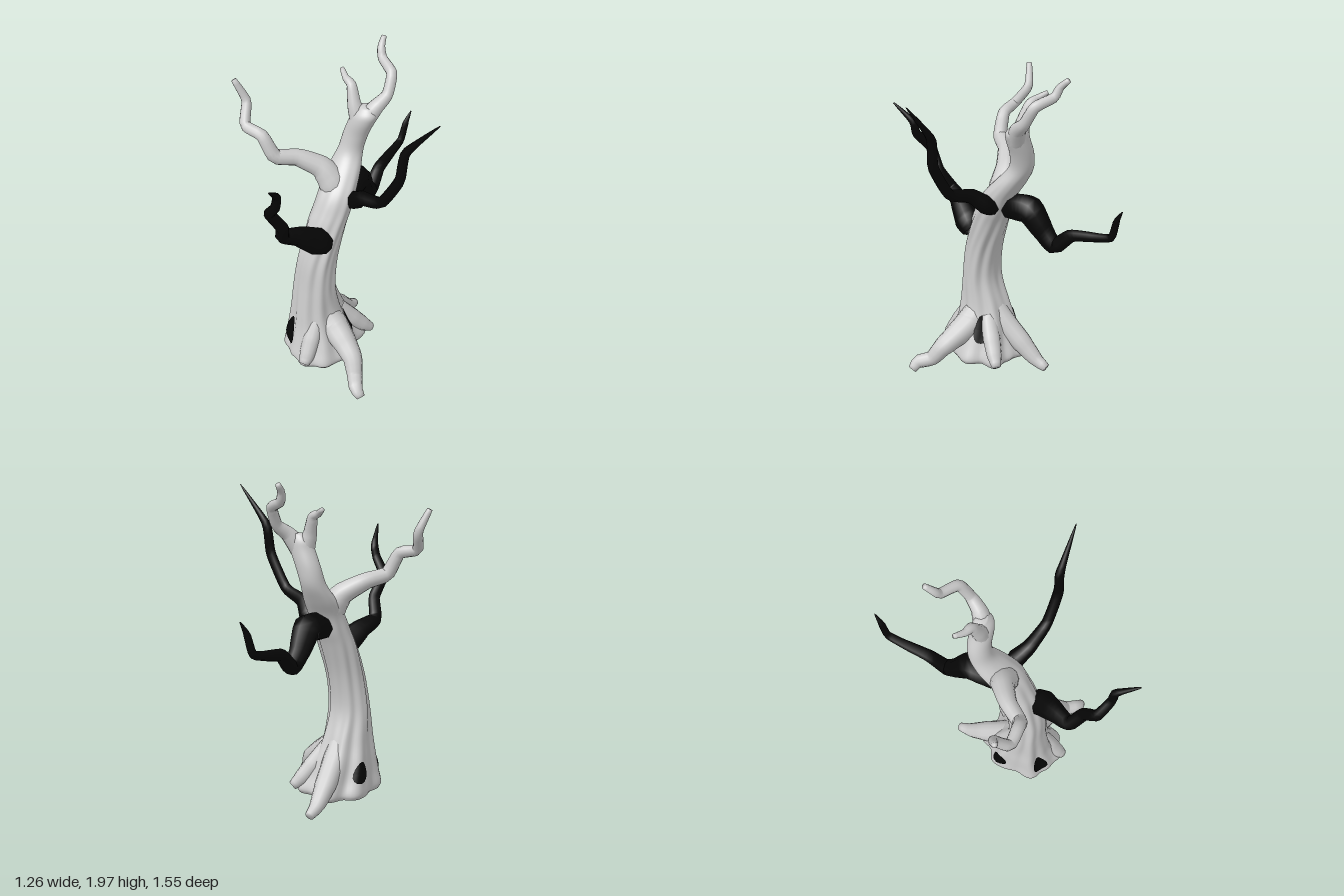
import * as THREE from 'three';

const bark = new THREE.MeshStandardMaterial({ color: 0xcccccc });
const dark = new THREE.MeshStandardMaterial({ color: 0x060606, side: THREE.DoubleSide });

// Skin of rows x cols quads over at(i, j) -> Vector3, closed around j
function loft(rows, cols, at) {
  const pos = [], index = [];
  for (let i = 0; i <= rows; i++)
    for (let j = 0; j < cols; j++) pos.push(...at(i, j).toArray());
  for (let i = 0; i < rows; i++)
    for (let j = 0; j < cols; j++) {
      const k = (j + 1) % cols;
      const a = i * cols + j, b = a + cols, c = i * cols + k, d = c + cols;
      index.push(a, b, c, b, d, c);
    }
  const geo = new THREE.BufferGeometry();
  geo.setAttribute('position', new THREE.Float32BufferAttribute(pos, 3));
  geo.setIndex(index);
  geo.computeVertexNormals();
  return geo;
}

// Trunk sections: y, centre x, centre z, half width x, half depth z
const RINGS = [
  [0.075, -0.09, 0.18, 0.195, 0.225],
  [0.11, -0.09, 0.18, 0.205, 0.24],
  [0.19, -0.10, 0.185, 0.185, 0.21],
  [0.30, -0.115, 0.19, 0.16, 0.175],
  [0.42, -0.12, 0.205, 0.138, 0.145],
  [0.60, -0.117, 0.222, 0.127, 0.108],
  [0.80, -0.105, 0.20, 0.115, 0.107],
  [1.00, -0.09, 0.135, 0.115, 0.11],
  [1.10, -0.08, 0.09, 0.113, 0.11],
  [1.20, -0.075, 0.045, 0.11, 0.10],
  [1.30, -0.085, -0.03, 0.10, 0.088],
  [1.40, -0.09, -0.10, 0.075, 0.072],
  [1.50, -0.07, -0.122, 0.075, 0.066],
  [1.60, -0.03, -0.125, 0.077, 0.063],
  [1.65, -0.015, -0.13, 0.075, 0.055],
  [1.69, -0.01, -0.14, 0.04, 0.03],
];
const spline = (f) => new THREE.CatmullRomCurve3(RINGS.map(f), false, 'catmullrom', 0.5);
const centres = spline((r) => new THREE.Vector3(r[1], r[0], r[2]));
const widths = spline((r) => new THREE.Vector3(r[3], r[0], r[4]));

// Buttresses of the foot: angle, swell
const TOES = [[1.32, 0.17], [2.37, 0.17], [0.62, 0.12], [-0.07, 0.17], [-0.88, 0.2], [3.46, 0.12], [4.26, 0.15]];

// Point on the fluted trunk at section number u and angle a
function trunkPoint(u, a, grow = 1) {
  const t = u / (RINGS.length - 1);
  const c = centres.getPoint(t), w = widths.getPoint(t);
  const flare = Math.max(0, 1 - c.y / 0.6);
  const fade = Math.max(0, Math.min(1, (1.4 - c.y) / 0.5));
  const twist = a + c.y * 0.5;
  let f = 1 + fade * (0.04 * Math.cos(7 * twist) + 0.03 * Math.cos(11 * twist + 2 + Math.sin(c.y * 7)));
  for (const [toe, swell] of TOES) {
    const off = Math.atan2(Math.sin(a - toe), Math.cos(a - toe)) / 0.26;
    f += flare * swell * Math.exp(-off * off);
  }
  f *= grow;
  return new THREE.Vector3(c.x + w.x * f * Math.cos(a), c.y, c.z + w.z * f * Math.sin(a));
}

// Crooked tapering limb through points [x, y, z, radius], closed at its tip
function limb(points, sides) {
  const curve = new THREE.CatmullRomCurve3(
    points.map((p) => new THREE.Vector3(p[0], p[1], p[2])), false, 'catmullrom', 0.27);
  const n = (points.length - 1) * 5;
  const frames = curve.computeFrenetFrames(n);
  return loft(n + 1, sides, (i, j) => {
    const k = Math.min(i, n);
    const s = curve.getUtoTmapping(k / n) * (points.length - 1);
    const q = Math.min(Math.floor(s), points.length - 2);
    const r = i > n ? 0 : THREE.MathUtils.lerp(points[q][3], points[q + 1][3], s - q);
    const a = (j / sides) * Math.PI * 2;
    return curve.getPointAt(k / n)
      .addScaledVector(frames.normals[k], r * Math.cos(a))
      .addScaledVector(frames.binormals[k], -r * Math.sin(a));
  });
}

const PALE_LIMBS = {
  sideBranch: [[-0.07, 1.12, 0.06, 0.07], [-0.11, 1.24, 0.05, 0.085], [-0.17, 1.33, 0.075, 0.066],
    [-0.27, 1.40, 0.16, 0.05], [-0.345, 1.435, 0.27, 0.043], [-0.41, 1.56, 0.295, 0.036],
    [-0.525, 1.59, 0.305, 0.032], [-0.57, 1.70, 0.235, 0.028], [-0.62, 1.83, 0.27, 0.016]],
  topBranchLong: [[-0.01, 1.6, -0.13, 0.055], [0.03, 1.68, -0.17, 0.046], [0.06, 1.74, -0.24, 0.033],
    [0.045, 1.845, -0.3, 0.031], [-0.055, 1.885, -0.35, 0.027], [-0.08, 1.94, -0.37, 0.022],
    [-0.095, 1.985, -0.415, 0.015]],
  topBranchShort: [[-0.045, 1.58, -0.12, 0.055], [-0.08, 1.69, -0.12, 0.04], [-0.115, 1.79, -0.14, 0.028],
    [-0.16, 1.81, -0.15, 0.021], [-0.215, 1.84, -0.185, 0.013]],
  longRoot: [[-0.09, 0.44, 0.2, 0.06], [0.01, 0.31, 0.21, 0.09], [0.12, 0.24, 0.24, 0.075],
    [0.21, 0.18, 0.275, 0.06], [0.26, 0.105, 0.32, 0.047], [0.32, 0.08, 0.385, 0.042],
    [0.365, 0.04, 0.395, 0.026]],
  backRoot: [[-0.11, 0.5, 0.18, 0.05], [-0.13, 0.31, 0.06, 0.07], [-0.155, 0.18, -0.07, 0.065],
    [-0.17, 0.09, -0.17, 0.045], [-0.175, 0.055, -0.25, 0.028]],
  smallBackRoot: [[-0.04, 0.36, 0.11, 0.05], [0.02, 0.24, 0.03, 0.055], [0.065, 0.16, -0.03, 0.045],
    [0.095, 0.12, -0.07, 0.028]],
  smallFrontRoot: [[-0.06, 0.38, 0.27, 0.05], [-0.05, 0.25, 0.35, 0.055], [-0.04, 0.15, 0.415, 0.045],
    [-0.035, 0.12, 0.45, 0.03]],
};

const DARK_LIMBS = {
  leftDarkBranch: [[0.0, 1.14, 0.035, 0.045], [0.055, 1.175, 0.04, 0.056], [0.13, 1.245, 0.085, 0.043],
    [0.285, 1.30, 0.115, 0.032], [0.405, 1.50, 0.118, 0.03], [0.43, 1.68, 0.105, 0.027],
    [0.62, 1.91, 0.09, 0.002]],
  frontDarkBranch: [[-0.03, 0.92, 0.225, 0.06], [-0.045, 0.965, 0.27, 0.085], [-0.09, 1.05, 0.38, 0.06],
    [-0.125, 1.10, 0.48, 0.042], [-0.075, 1.22, 0.54, 0.037], [-0.09, 1.35, 0.615, 0.032],
    [-0.01, 1.45, 0.655, 0.027], [0.01, 1.53, 0.66, 0.024], [0.06, 1.64, 0.77, 0.004]],
  backDarkBranch: [[-0.09, 1.13, -0.01, 0.07], [-0.09, 1.15, -0.09, 0.085], [-0.095, 1.15, -0.17, 0.085],
    [-0.11, 1.04, -0.255, 0.062], [-0.115, 0.965, -0.335, 0.048], [-0.13, 1.06, -0.44, 0.038],
    [-0.145, 1.095, -0.6, 0.028], [-0.15, 1.125, -0.7, 0.023], [-0.14, 1.24, -0.735, 0.019],
    [-0.13, 1.31, -0.775, 0.003]],
};

// Hollows: section number, half height in sections, angle
const HOLLOWS = [[2.55, 0.85, 2.12], [2.95, 0.75, -0.5], [2.45, 0.6, 3.5]];

export function createModel() {
  const tree = new THREE.Group();
  tree.name = 'tree';
  const add = (name, geo, mat) => {
    const mesh = new THREE.Mesh(geo, mat);
    mesh.name = name;
    tree.add(mesh);
  };

  // Trunk with a closed top and a flat underside
  const ROWS = 75, COLS = 72, last = RINGS.length - 1;
  const angle = (j) => (j / COLS) * Math.PI * 2;
  add('trunk', loft(ROWS + 1, COLS, (i, j) =>
    trunkPoint((Math.min(i, ROWS) / ROWS) * last, angle(j), i > ROWS ? 0 : 1)), bark);
  add('trunkUnderside', loft(1, COLS, (i, j) => trunkPoint(0, angle(j), i)), bark);

  // Branches and roots
  for (const [name, pts] of Object.entries(PALE_LIMBS)) add(name, limb(pts, 12), bark);
  for (const [name, pts] of Object.entries(DARK_LIMBS)) add(name, limb(pts, 8), dark);

  // Dark hollows hugging the foot of the trunk
  for (const [u, h, a] of HOLLOWS) {
    const geo = new THREE.RingGeometry(0.001, 1, 16, 5);
    const p = geo.attributes.position;
    for (let i = 0; i < p.count; i++) {
      const v = trunkPoint(u + h * p.getY(i), a + 0.24 * p.getX(i) * (1 - 0.3 * p.getY(i)), 1.05);
      p.setXYZ(i, v.x, v.y, v.z);
    }
    geo.computeVertexNormals();
    add('hollow', geo, dark);
  }
  return tree;
}
